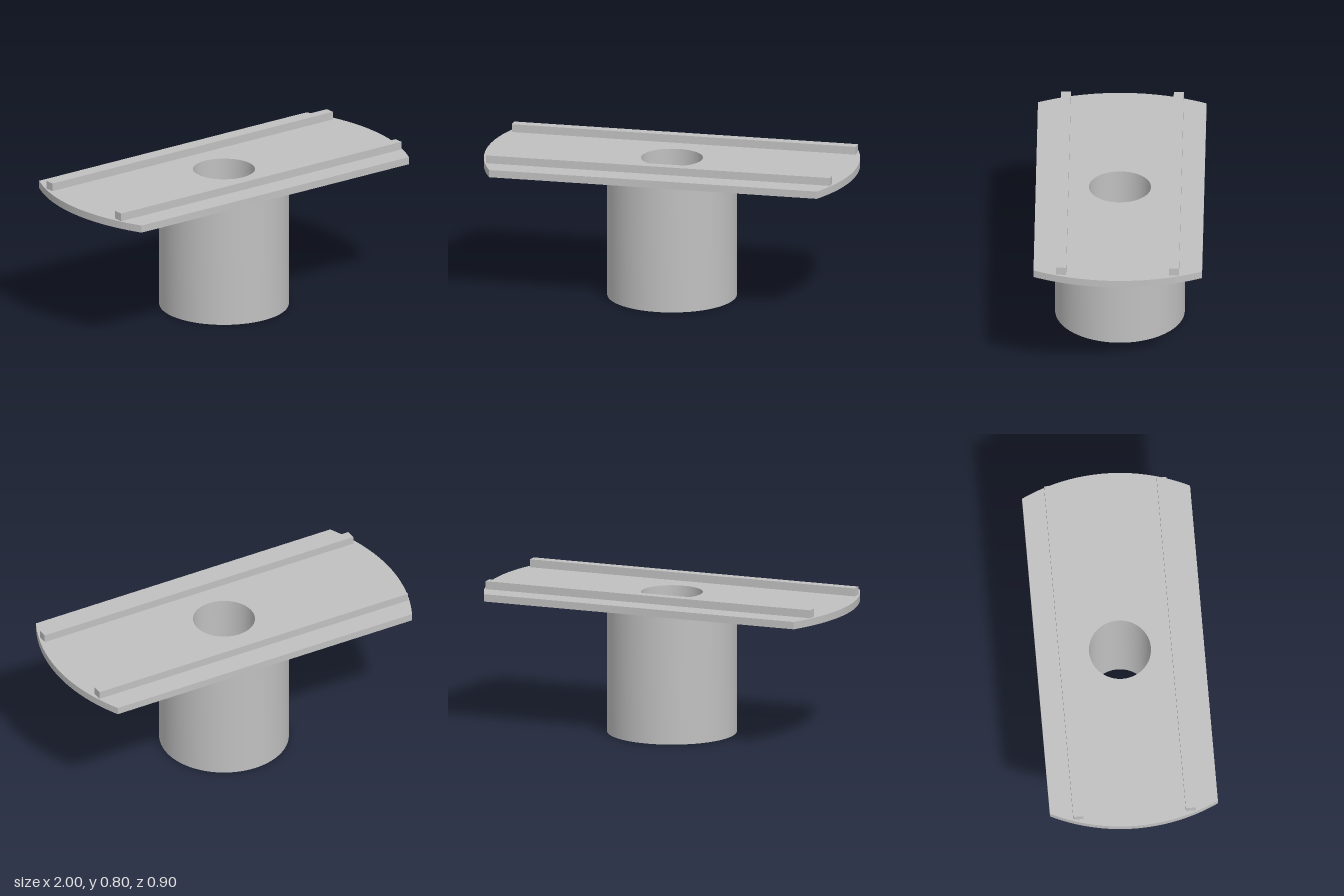
import * as THREE from 'three';
import { toCreasedNormals } from 'three/addons/utils/BufferGeometryUtils.js';

const BORE = 0.165, SLEEVE = 0.345;
const PLATE_BOTTOM = 0.717, PLATE_TOP = 0.757, PLATE_HALF = 0.448;
const RAIL_TOP = 0.8, RAIL_Z = 0.3;

export function createModel() {
  const group = new THREE.Group();
  const grey = new THREE.MeshStandardMaterial({ color: 0xc0c0c0 });
  grey.name = 'plain grey';

  const add = (name, geometry) => {
    const mesh = new THREE.Mesh(geometry, grey);
    mesh.name = name;
    group.add(mesh);
    return mesh;
  };

  // Bored sleeve: bore wall, bottom ring, outer wall
  const profile = [
    new THREE.Vector2(BORE, PLATE_BOTTOM),
    new THREE.Vector2(BORE, 0),
    new THREE.Vector2(SLEEVE, 0),
    new THREE.Vector2(SLEEVE, PLATE_BOTTOM),
  ];
  add('sleeve', toCreasedNormals(new THREE.LatheGeometry(profile, 72), 0.5));

  // Plate: unit disc cut by two straight sides, with a round hole
  const corner = Math.asin(PLATE_HALF);
  const outline = new THREE.Shape();
  outline.absarc(0, 0, 1, -corner, corner, false);
  outline.absarc(0, 0, 1, Math.PI - corner, Math.PI + corner, false);
  outline.closePath();
  const hole = new THREE.Path();
  hole.absarc(0, 0, BORE, 0, Math.PI * 2, true);
  outline.holes.push(hole);
  const plate = new THREE.ExtrudeGeometry(outline, {
    depth: PLATE_TOP - PLATE_BOTTOM, bevelEnabled: false, curveSegments: 36,
  });
  plate.rotateX(-Math.PI / 2);
  plate.translate(0, PLATE_BOTTOM, 0);
  add('plate', toCreasedNormals(plate, 0.5));

  // Two parallel rails on the plate
  for (const side of [1, -1]) {
    const rail = add(side > 0 ? 'frontRail' : 'backRail',
      new THREE.BoxGeometry(1.876, RAIL_TOP - PLATE_TOP, 0.053));
    rail.position.set(0, (RAIL_TOP + PLATE_TOP) / 2, side * RAIL_Z);
  }
  return group;
}
